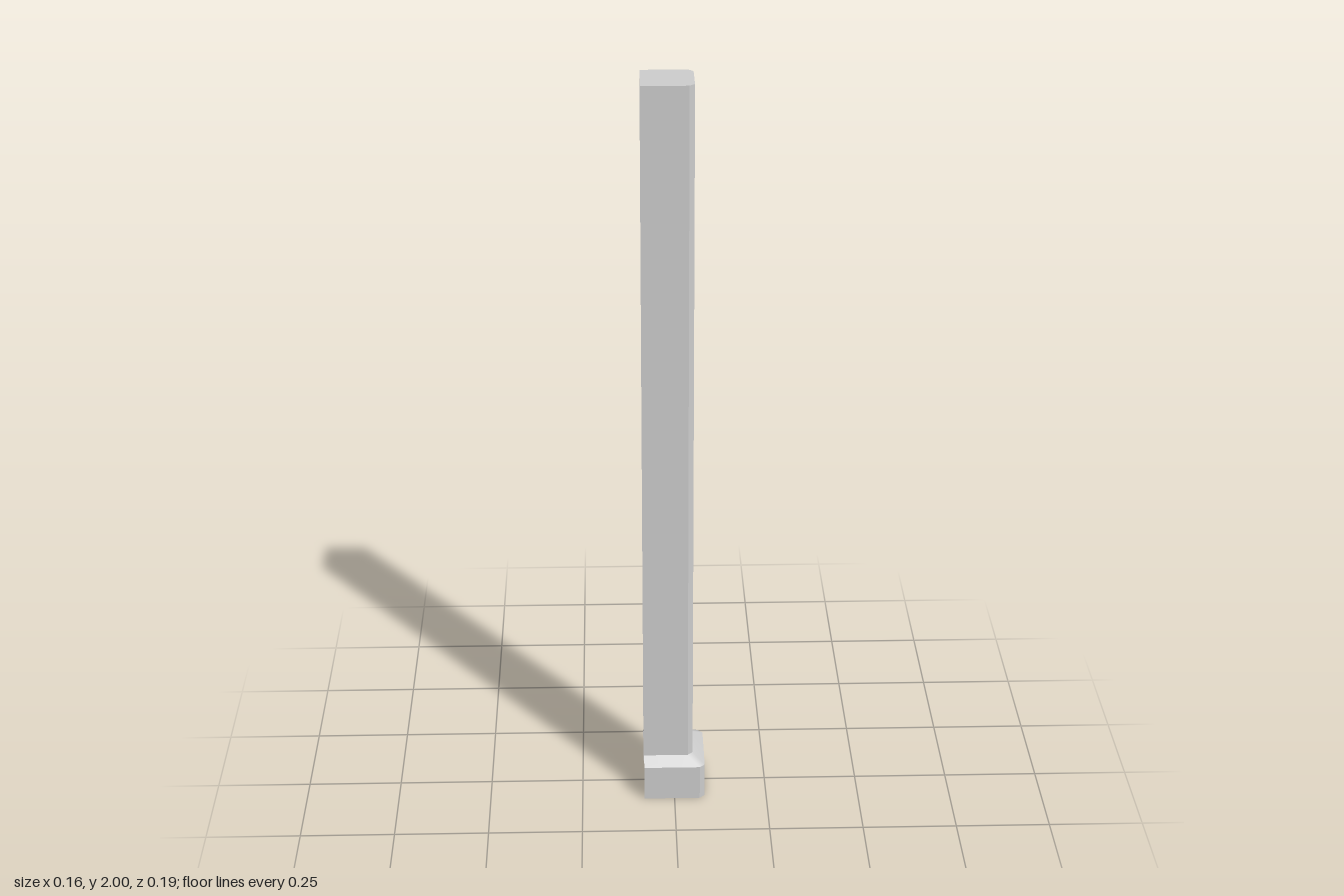
import * as THREE from 'three';
import { mergeVertices } from 'three/addons/utils/BufferGeometryUtils.js';

const BACK = -0.082; // open wall side of the pilaster
const material = new THREE.MeshStandardMaterial({ color: 0xcccccc, side: THREE.DoubleSide });

// Outline with two chamfered corners on the +x side, counter-clockwise from above
function outline(y, xr, z, c = 0.0135) {
  return [[BACK, z], [xr - c, z], [xr, z - c], [xr, c - z], [xr - c, -z], [BACK, -z]]
    .map(([px, pz]) => [px, y, pz]);
}

// Rectangle facing +x
function rect(x, w, y0, y1) {
  return [[x, y0, w], [x, y0, -w], [x, y1, -w], [x, y1, w]];
}

// Quads between two matching rings; skip lists the sides to leave out
function loft(a, b, skip = []) {
  const tris = [];
  a.forEach((p, i) => {
    if (skip.includes(i)) return;
    const j = (i + 1) % a.length;
    tris.push(p, a[j], b[j], p, b[j], b[i]);
  });
  return tris;
}

// Fan that fills a convex ring
function fill(ring) {
  const tris = [];
  for (let i = 1; i < ring.length - 1; i++) tris.push(ring[0], ring[i], ring[i + 1]);
  return tris;
}

function part(name, tris, smooth = false) {
  let geometry = new THREE.BufferGeometry();
  geometry.setAttribute('position', new THREE.Float32BufferAttribute(tris.flat(), 3));
  if (smooth) geometry = mergeVertices(geometry);
  geometry.computeVertexNormals();
  const mesh = new THREE.Mesh(geometry, material);
  mesh.name = name;
  return mesh;
}

export function createModel() {
  const group = new THREE.Group();
  group.name = 'pilaster';

  const baseBottom = outline(0, 0.082, 0.0955);
  const baseTop = outline(0.098, 0.082, 0.0955);
  const shaftBottom = outline(0.12, 0.05, 0.067);
  const shaftTop = outline(2, 0.05, 0.067);

  // Plinth, open below and on the wall side (side 5)
  group.add(part('plinth', loft(baseBottom, baseTop, [5])));
  group.add(part('plinthSlope', loft(baseTop, shaftBottom, [5]), true));

  // Shaft, open on the wall side, without the +x side (side 2) that carries the panel
  group.add(part('shaft', loft(shaftBottom, shaftTop, [2, 5])));
  group.add(part('shaftTop', fill(shaftTop)));

  // Recessed panel: flat frame, bevelled reveal, floor
  const face = rect(0.05, 0.0535, 0.12, 2);
  const opening = rect(0.05, 0.042, 0.147, 1.975);
  const floor = rect(0.031, 0.033, 0.16, 1.967);
  group.add(part('panelFrame', loft(face, opening)));
  group.add(part('panelReveal', loft(opening, floor)));
  group.add(part('panelFloor', fill(floor)));

  return group;
}
